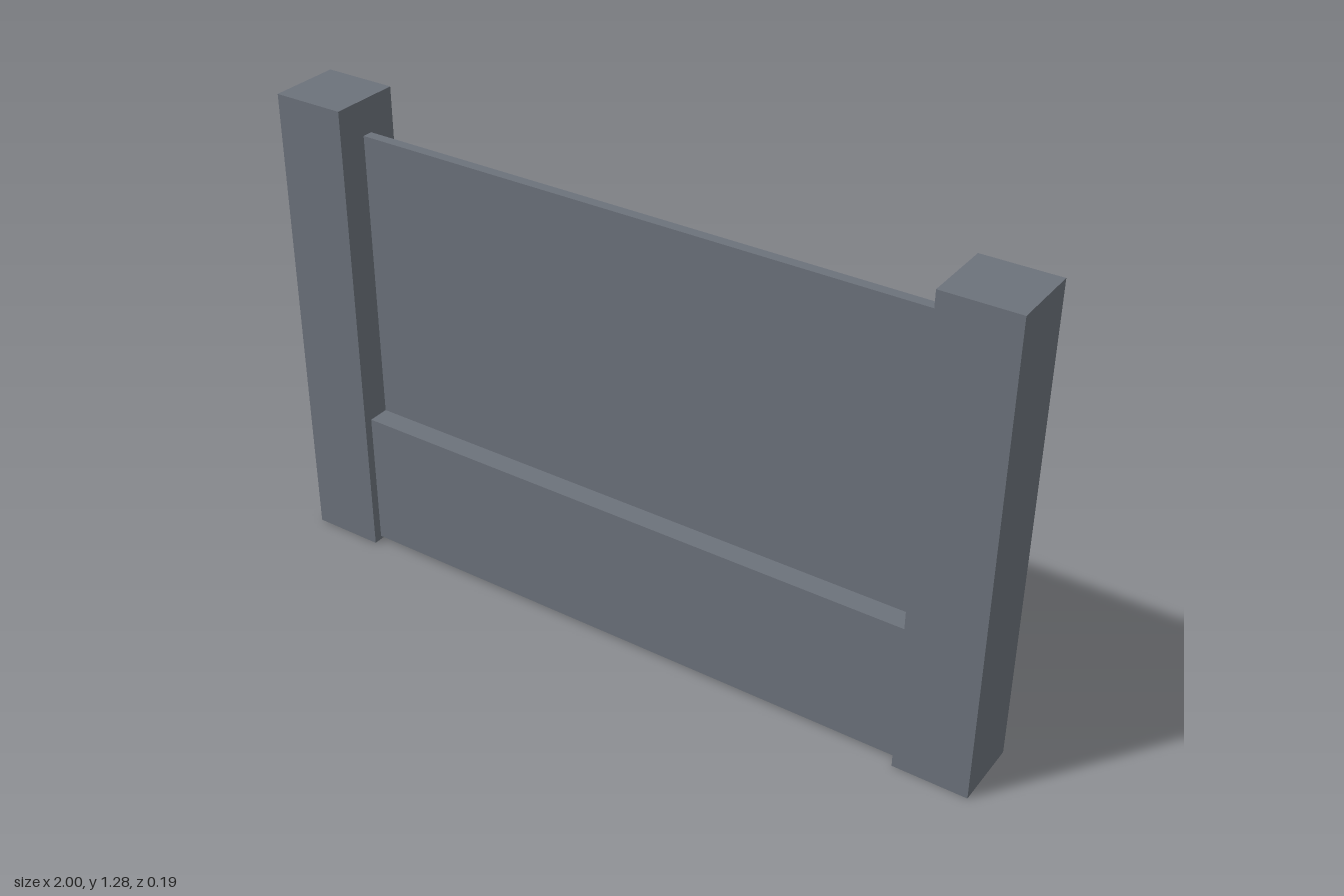
import * as THREE from 'three';

export function createModel() {
  const group = new THREE.Group();
  const material = new THREE.MeshStandardMaterial({ color: 0x6c727b });

  // Box standing between two heights, centred on z
  function addBox(name, x, bottom, top, width, depth) {
    const mesh = new THREE.Mesh(new THREE.BoxGeometry(width, top - bottom, depth), material);
    mesh.name = name;
    mesh.position.set(x, (bottom + top) / 2, 0);
    group.add(mesh);
  }

  const postWidth = 0.198;
  const span = 2 - 2 * postWidth;

  // Square end posts
  for (const side of [-1, 1]) {
    addBox(side > 0 ? 'leftPost' : 'rightPost', side * (1 - postWidth / 2), 0, 1.28, postWidth, 0.193);
  }

  // Thick base wall, raised just clear of the ground
  addBox('baseWall', 0, 0.01, 0.39, span, 0.146);

  // Thin panel standing on the base wall
  addBox('upperPanel', 0, 0.39, 1.187, span, 0.028);

  return group;
}
